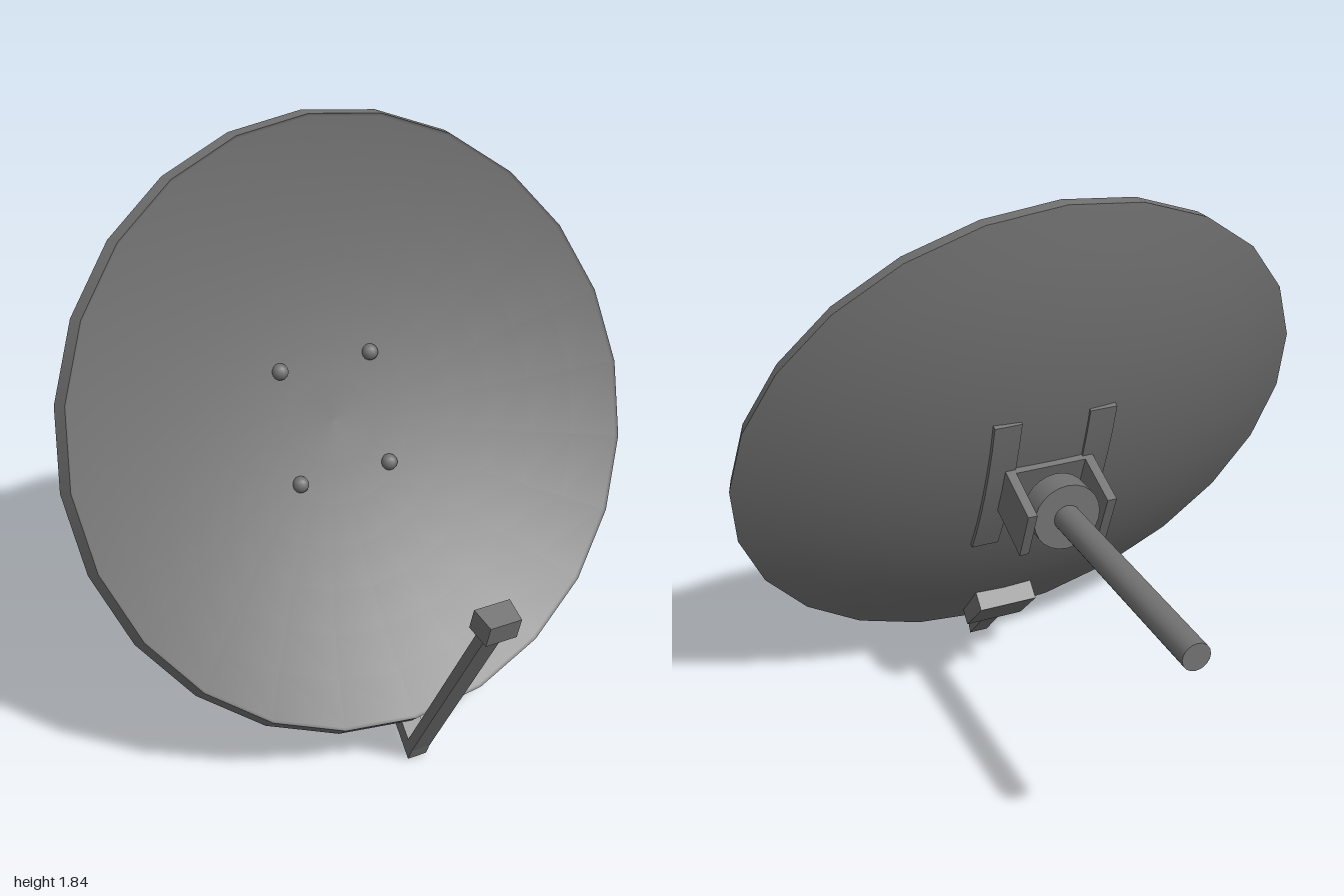
import * as THREE from 'three';

const material = new THREE.MeshStandardMaterial({ color: 0x727272 });
const TILT = 0.384; // upward lean of the reflector
const CURVE = 0.235; // parabola factor of the bowl

function addMesh(parent, name, geometry, x = 0, y = 0, z = 0) {
  const mesh = new THREE.Mesh(geometry, material);
  mesh.name = name;
  mesh.position.set(x, y, z);
  parent.add(mesh);
  return mesh;
}

// Lathe turned so that its axis points along +z
function dishLathe(points) {
  return new THREE.LatheGeometry(points.map(([r, z]) => new THREE.Vector2(r, z)), 24).rotateX(Math.PI / 2);
}

// Parabolic profile from the centre to the given radius
function bowlProfile(radius, depth, rings = 7) {
  return Array.from({ length: rings + 1 }, (_, i) => {
    const r = radius * i / rings;
    return [r, CURVE * r * r - depth];
  });
}

// Thin strip bent to follow the back of the bowl
function railGeometry() {
  const rail = new THREE.BoxGeometry(0.088, 0.55, 0.03, 1, 6, 1);
  const pos = rail.attributes.position;
  for (let i = 0; i < pos.count; i++) {
    pos.setZ(i, pos.getZ(i) + CURVE * pos.getY(i) ** 2);
  }
  rail.computeVertexNormals();
  return rail;
}

function createReflector() {
  const group = new THREE.Group();
  group.name = 'reflector';
  group.position.set(0, 0.986, 0.215);
  group.rotation.x = -TILT;

  // Bowl in separate skins, so that the rim edges stay sharp
  addMesh(group, 'dishBack', dishLathe(bowlProfile(0.935, 0.25)));
  addMesh(group, 'dishRim', dishLathe([[0.935, -0.045], [0.918, 0]]));
  addMesh(group, 'dishFront', dishLathe([[0.918, 0], ...bowlProfile(0.91, 0.203).reverse()]));

  for (const side of [-1, 1]) {
    // Mounting rail and the bolts that hold it
    addMesh(group, 'mountRail', railGeometry(), side * 0.155, 0.004, -0.239);
    for (const y of [-0.166, 0.183]) {
      addMesh(group, 'bolt', new THREE.SphereGeometry(0.026, 12, 8), side * 0.155, y, -0.186);
    }
    // Side plate of the U bracket
    addMesh(group, 'bracketSide', new THREE.BoxGeometry(0.03, 0.18, 0.215), side * 0.13, 0.004, -0.331);
  }
  addMesh(group, 'bracketBase', new THREE.BoxGeometry(0.23, 0.18, 0.04), 0, 0.004, -0.246);
  return group;
}

function createFeed() {
  const group = new THREE.Group();
  group.name = 'feed';

  // Bent arm: side outline in z and y, extruded across x
  const outline = [
    [0.38, 0.197], [0.568, 0], [0.586, 0.04], [0.96, 0.68],
    [0.93, 0.697], [0.566, 0.072], [0.41, 0.228],
  ].map(([z, y]) => new THREE.Vector2(z, y));
  const arm = new THREE.ExtrudeGeometry(new THREE.Shape(outline), { depth: 0.064, bevelEnabled: false });
  arm.translate(0, 0, -0.032).rotateY(-Math.PI / 2);
  addMesh(group, 'feedArm', arm);

  // Clamp block behind the lower edge of the dish
  const clamp = addMesh(group, 'armClamp', new THREE.BoxGeometry(0.2, 0.19, 0.07), 0, 0.235, 0.374);
  clamp.rotation.x = -Math.PI / 4;

  // Receiver head, slightly narrower at its front
  const head = new THREE.BoxGeometry(0.114, 0.07, 0.076);
  const pos = head.attributes.position;
  for (let i = 0; i < pos.count; i++) {
    if (pos.getZ(i) > 0) pos.setX(i, pos.getX(i) * 0.87);
  }
  head.computeVertexNormals();
  addMesh(group, 'receiverHead', head, 0, 0.709, 0.954).rotation.x = 0.29;
  return group;
}

export function createModel() {
  const model = new THREE.Group();
  model.name = 'satelliteDish';
  model.add(createReflector(), createFeed());

  // Horizontal mast with its collar
  const collar = new THREE.CylinderGeometry(0.108, 0.108, 0.085, 24).rotateX(Math.PI / 2);
  addMesh(model, 'mastCollar', collar, 0, 0.857, -0.144);
  const mast = new THREE.CylinderGeometry(0.043, 0.043, 0.85, 16).rotateX(Math.PI / 2);
  addMesh(model, 'mast', mast, 0, 0.855, -0.575);
  return model;
}
